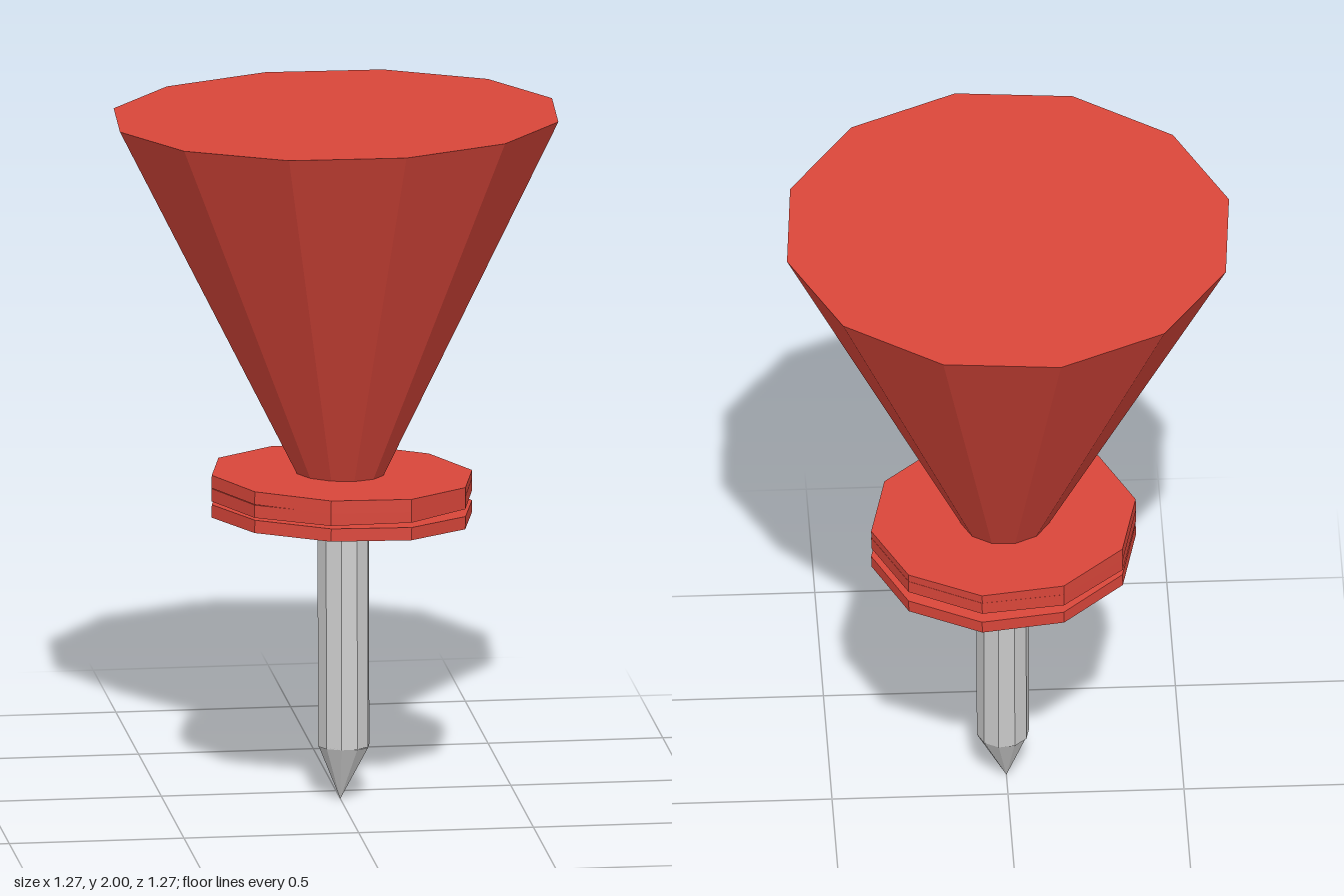
import * as THREE from 'three';

const UP = new THREE.Vector3(0, 1, 0);
const rad = THREE.MathUtils.degToRad;

export function createModel() {
  const group = new THREE.Group();
  const red = new THREE.MeshStandardMaterial({ color: 0xd9463a, flatShading: true });
  const metal = new THREE.MeshStandardMaterial({ color: 0xcccccc, flatShading: true });

  // Faceted frustum running between two points, with its first corner at a given angle
  function frustum(name, material, from, to, rFrom, rTo, sides, angle) {
    const a = new THREE.Vector3(...from);
    const b = new THREE.Vector3(...to);
    const axis = b.clone().sub(a);
    const geometry = new THREE.CylinderGeometry(rTo, rFrom, axis.length(), sides, 1, false, rad(angle));
    const mesh = new THREE.Mesh(geometry, material);
    mesh.name = name;
    mesh.position.copy(a).add(b).multiplyScalar(0.5);
    mesh.quaternion.setFromUnitVectors(UP, axis.normalize());
    group.add(mesh);
  }

  // Flared grip
  frustum('grip', red, [0.008, 0.9, 0.043], [0, 1.975, 0], 0.107, 0.645, 12, 10.7);

  // Three thin collar discs, each tilted slightly differently
  const discs = [
    ['upperCollar', 0.923, 0.035, -0.022],
    ['middleCollar', 0.892, 0.015, -0.013],
    ['lowerCollar', 0.836, 0.036, -0.036],
  ];
  const half = 0.0185;
  for (const [name, y, nx, nz] of discs) {
    const x = 0.01, z = 0.05;
    frustum(name, red,
      [x - nx * half, y - half, z - nz * half],
      [x + nx * half, y + half, z + nz * half], 0.38, 0.38, 10, 24);
  }

  // Core joining the collars to the grip
  frustum('core', red, [0.011, 0.83, 0.056], [0.008, 0.93, 0.047], 0.1, 0.1, 10, 24);

  // Needle shaft and its point
  frustum('needleShaft', metal, [0.01, 0.155, 0.09], [0.013, 0.84, 0.062], 0.075, 0.075, 10, 24);
  frustum('needlePoint', metal, [0, 0, 0.094], [0.01, 0.157, 0.09], 0, 0.075, 10, 24);

  return group;
}
